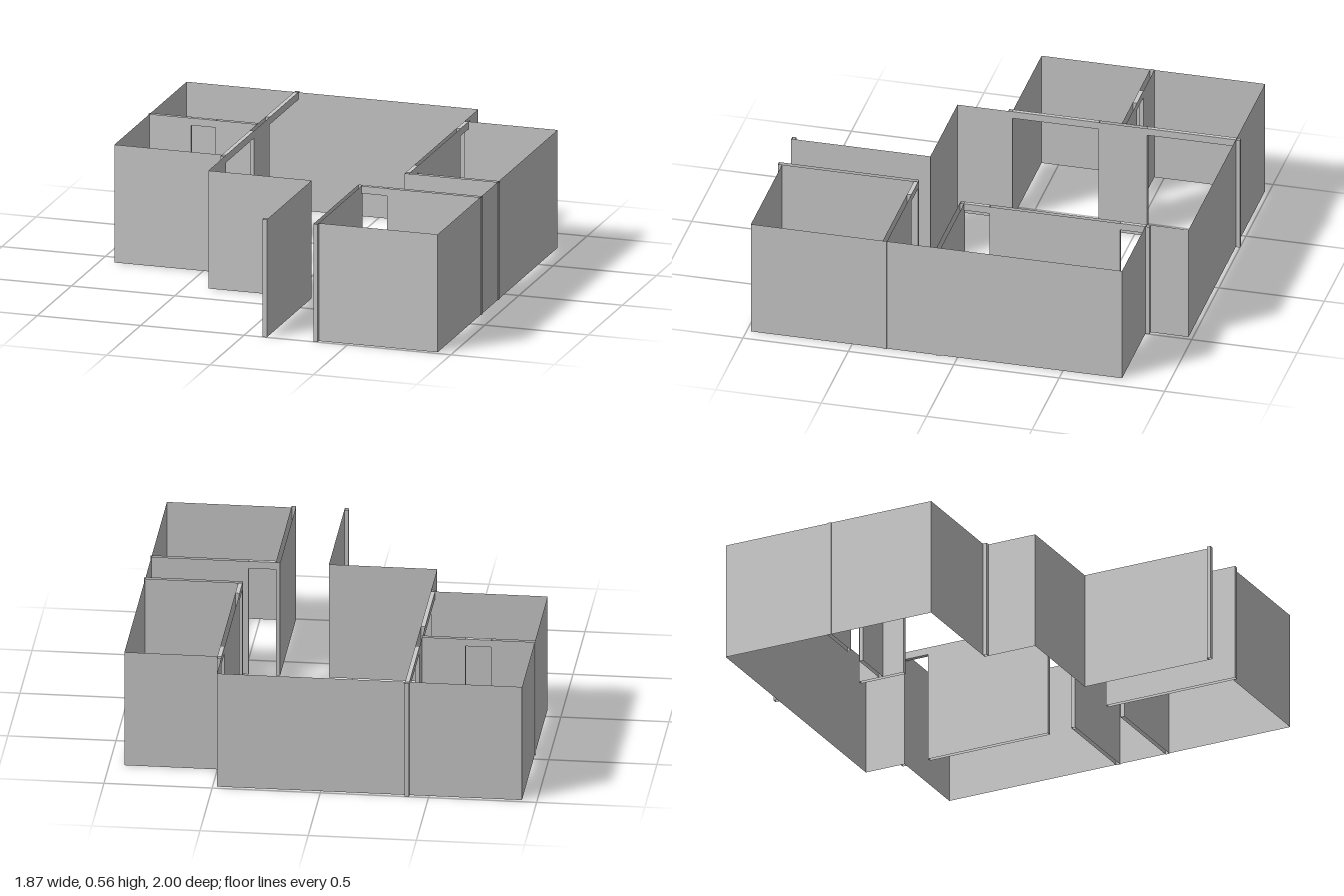
import * as THREE from 'three';

const H = 0.565;      // wall height
const T = 0.02;       // partition thickness
const BEAM = 0.035;   // depth of the beam over an opening

const material = new THREE.MeshStandardMaterial({
  color: 0xcccccc, side: THREE.DoubleSide, flatShading: true,
});

export function createModel() {
  const group = new THREE.Group();

  // Upright sheet following a floor-plan path of [x, z] points
  function sheet(name, path) {
    const pos = [], idx = [];
    for (let i = 0; i < path.length - 1; i++) {
      const [ax, az] = path[i], [bx, bz] = path[i + 1], n = pos.length / 3;
      pos.push(ax, 0, az, bx, 0, bz, bx, H, bz, ax, H, az);
      idx.push(n, n + 1, n + 2, n, n + 2, n + 3);
    }
    const geo = new THREE.BufferGeometry();
    geo.setAttribute('position', new THREE.Float32BufferAttribute(pos, 3));
    geo.setIndex(idx);
    geo.computeVertexNormals();
    const mesh = new THREE.Mesh(geo, material);
    mesh.name = name;
    group.add(mesh);
  }

  // Hollow partition, open at top and bottom
  function partition(name, x0, x1, z0, z1) {
    sheet(name, [[x0, z0], [x1, z0], [x1, z1], [x0, z1], [x0, z0]]);
  }

  // Solid beam over an opening
  function beam(name, x0, x1, z0, z1) {
    const mesh = new THREE.Mesh(new THREE.BoxGeometry(x1 - x0, BEAM, z1 - z0), material);
    mesh.position.set((x0 + x1) / 2, H - BEAM / 2, (z0 + z1) / 2);
    mesh.name = name;
    group.add(mesh);
  }

  // Straight runs along z (at a given x) or along x (at a given z)
  const alongZ = (make, name, x, runs) =>
    runs.forEach(([a, b]) => make(name, x - T / 2, x + T / 2, a, b));
  const alongX = (make, name, z, runs) =>
    runs.forEach(([a, b]) => make(name, a, b, z - T / 2, z + T / 2));

  // Outer walls: thin sheets around the rooms
  sheet('backAndWestWall', [
    [0.48, -0.78], [0.48, -0.98], [-0.93, -0.98], [-0.93, 0.08], [-0.41, 0.08],
  ]);
  sheet('hallFrontWall', [[-0.39, 0.1], [-0.39, 0.34], [0.11, 0.34], [0.11, 0.98]]);
  sheet('frontAndEastWall', [[0.355, 0.98], [0.93, 0.98], [0.93, -0.78], [0.5, -0.78]]);

  // Partition between the hall and the two west rooms, with wide openings
  alongZ(partition, 'westPartition', -0.4, [[-1, -0.98], [-0.56, -0.33], [0.08, 0.1]]);
  alongZ(beam, 'westOpeningBeam', -0.4, [[-0.98, -0.56], [-0.33, 0.08]]);

  // Partition between the two west rooms, with a door
  alongX(partition, 'westRoomDivider', -0.445, [[-0.935, -0.73], [-0.61, -0.41]]);
  alongX(beam, 'westDoorBeam', -0.445, [[-0.73, -0.61]]);

  // Partition between the hall and the north-east room, with a door at each end
  alongZ(partition, 'eastPartition', 0.49, [[-0.8, -0.78], [-0.66, -0.04], [0.08, 0.1]]);
  alongZ(beam, 'eastDoorBeam', 0.49, [[-0.78, -0.66], [-0.04, 0.08]]);
  alongX(partition, 'eastRoomWall', 0.09, [[0.5, 0.935]]);

  // South-east room: entrance-side wall and the wall with its door
  alongZ(partition, 'entranceSideWall', 0.345, [[0.335, 1]]);
  alongX(partition, 'southRoomWall', 0.345, [[0.48, 0.935]]);
  alongX(beam, 'southDoorBeam', 0.345, [[0.355, 0.48]]);

  // Post on the other side of the entrance
  alongZ(partition, 'entrancePost', 0.1, [[0.98, 1]]);

  return group;
}
